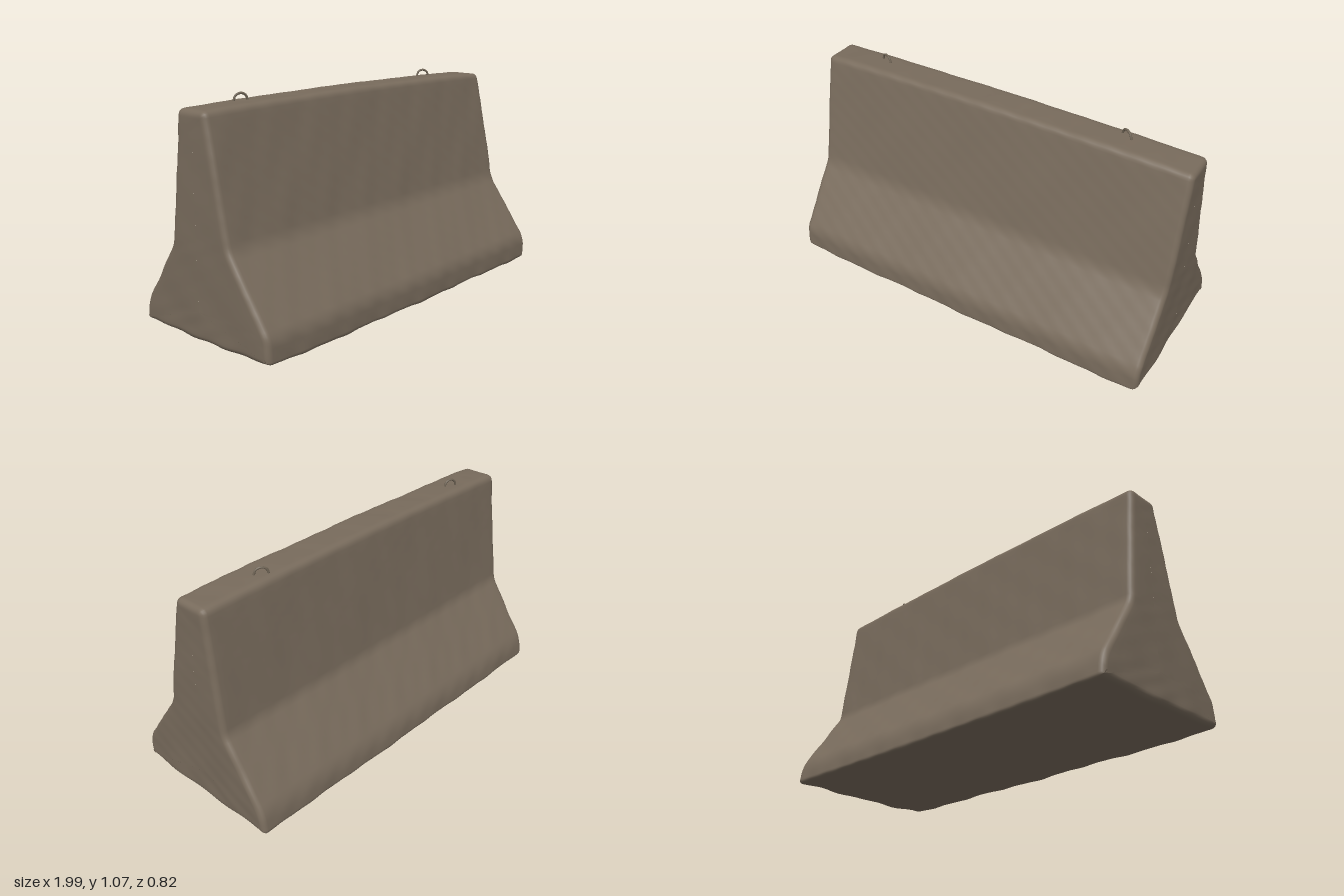
import * as THREE from 'three';

// Barrier outline as [z, y, corner radius], up the front and down the back
const CORNERS = [
  [0.412, 0.014, 0.02], [0.407, 0.13, 0.04], [0.18, 0.455, 0.04], [0.062, 1.044, 0.03],
  [-0.116, 1.044, 0.035], [-0.165, 0.6, 0.1], [-0.184, 0.435, 0.03],
  [-0.398, 0.11, 0.05], [-0.41, 0.014, 0.02], [-0.14, 0.006, 0.1],
];

// Rounds the corners and subdivides the straight runs evenly
function makeOutline() {
  const n = CORNERS.length;
  const pts = CORNERS.map(([z, y]) => new THREE.Vector2(z, y));
  const out = [];
  for (let i = 0; i < n; i++) {
    const p = pts[i], r = CORNERS[i][2];
    const toward = (q) => q.clone().sub(p).setLength(r).add(p);
    const start = toward(pts[(i + n - 1) % n]);
    const end = toward(pts[(i + 1) % n]);
    out.push(...new THREE.QuadraticBezierCurve(start, p, end).getPoints(5));
    const next = pts[(i + 1) % n];
    const nextStart = p.clone().sub(next).setLength(CORNERS[(i + 1) % n][2]).add(next);
    const steps = Math.max(1, Math.round(end.distanceTo(nextStart) / 0.03));
    for (let s = 1; s < steps; s++) out.push(end.clone().lerp(nextStart, s / steps));
  }
  return out;
}

// Gentle unevenness of worn cast concrete
function wear(x, y, z) {
  const low = 1 + 1.2 * Math.exp(-y * 6);
  return 0.0014 * low * (
    Math.sin(9 * x + 5 * z + 2) * Math.sin(8 * y - 6 * z)
    + 0.8 * Math.sin(23 * x - 11 * y + 1) * Math.sin(19 * z + 13 * y + 0.5)
    + 0.6 * Math.sin(47 * x + 29 * y) * Math.sin(37 * y - 31 * z + 2));
}

function makeBarrierGeometry() {
  const outline = makeOutline();
  const n = outline.length;
  const normals = outline.map((p, j) => {
    const d = outline[(j + 1) % n].clone().sub(outline[(j + n - 1) % n]).normalize();
    return new THREE.Vector2(d.y, -d.x);
  });

  // Rings along x: end cap, rounded edge, body, rounded edge, end cap
  const R = 0.028, END = 0.993, half = [];
  for (let k = 0; k < 8; k++) half.push({ x: END, inset: R, fill: 1 - k / 8 });
  for (let k = 0; k <= 5; k++) {
    const a = (k / 5) * Math.PI / 2;
    half.push({ x: END - R + R * Math.cos(a), inset: R * (1 - Math.sin(a)), fill: 0 });
  }
  const rings = half.map((h) => ({ ...h, x: -h.x }));
  for (let k = 1; k < 80; k++) {
    rings.push({ x: (END - R) * (k / 40 - 1), inset: 0, fill: 0 });
  }
  rings.push(...half.slice().reverse());

  const pos = [], index = [];
  rings.forEach(({ x, inset, fill }) => {
    outline.forEach((p, j) => {
      let z = p.x - normals[j].x * inset;
      let y = p.y - normals[j].y * inset;
      // Caps close onto an upright line in the middle of the end face
      z += (-0.02 - z) * fill;
      y += (THREE.MathUtils.clamp(y, 0.15, 0.95) - y) * fill;
      const w = wear(x, y, z);
      // Top and bottom edges bow slightly along the length
      const bow = 0.012 * x * x * (y > 0.5 ? -(y - 0.5) * 2 : (0.5 - y) * 1.2);
      pos.push(
        x + (Math.abs(x) > 0.96 ? Math.sign(x) * w : 0),
        y + bow + normals[j].y * w * (1 - fill),
        z + normals[j].x * w * (1 - fill));
    });
  });
  for (let i = 0; i < rings.length - 1; i++) {
    for (let j = 0; j < n; j++) {
      const a = i * n + j, c = i * n + (j + 1) % n;
      index.push(a, a + n, c, a + n, c + n, c);
    }
  }
  const geo = new THREE.BufferGeometry();
  geo.setAttribute('position', new THREE.Float32BufferAttribute(pos, 3));
  geo.setIndex(index);
  geo.computeVertexNormals();
  return geo;
}

// Bent bar standing in the top face
function makeLoopGeometry() {
  const path = new THREE.CatmullRomCurve3([
    [-0.032, -0.03], [-0.032, 0.008], [-0.023, 0.03], [0, 0.039],
    [0.023, 0.03], [0.032, 0.008], [0.032, -0.03],
  ].map(([x, y]) => new THREE.Vector3(x, y, 0)));
  return new THREE.TubeGeometry(path, 28, 0.0055, 8);
}

export function createModel() {
  const concrete = new THREE.MeshStandardMaterial({ color: 0x786b5c });
  concrete.name = 'concrete';
  const steel = new THREE.MeshStandardMaterial({ color: 0x706556 });
  steel.name = 'weathered steel';

  const model = new THREE.Group();
  model.name = 'roadBarrier';

  const body = new THREE.Mesh(makeBarrierGeometry(), concrete);
  body.name = 'barrierBody';
  model.add(body);

  // Two lifting loops, each slightly twisted
  const loop = makeLoopGeometry();
  [['rightLiftingLoop', -0.697, -0.047, -0.34], ['leftLiftingLoop', 0.627, -0.06, -0.52]]
    .forEach(([name, x, z, turn]) => {
      const mesh = new THREE.Mesh(loop, steel);
      mesh.name = name;
      mesh.position.set(x, 1.031, z);
      mesh.rotation.y = turn;
      model.add(mesh);
    });
  return model;
}
